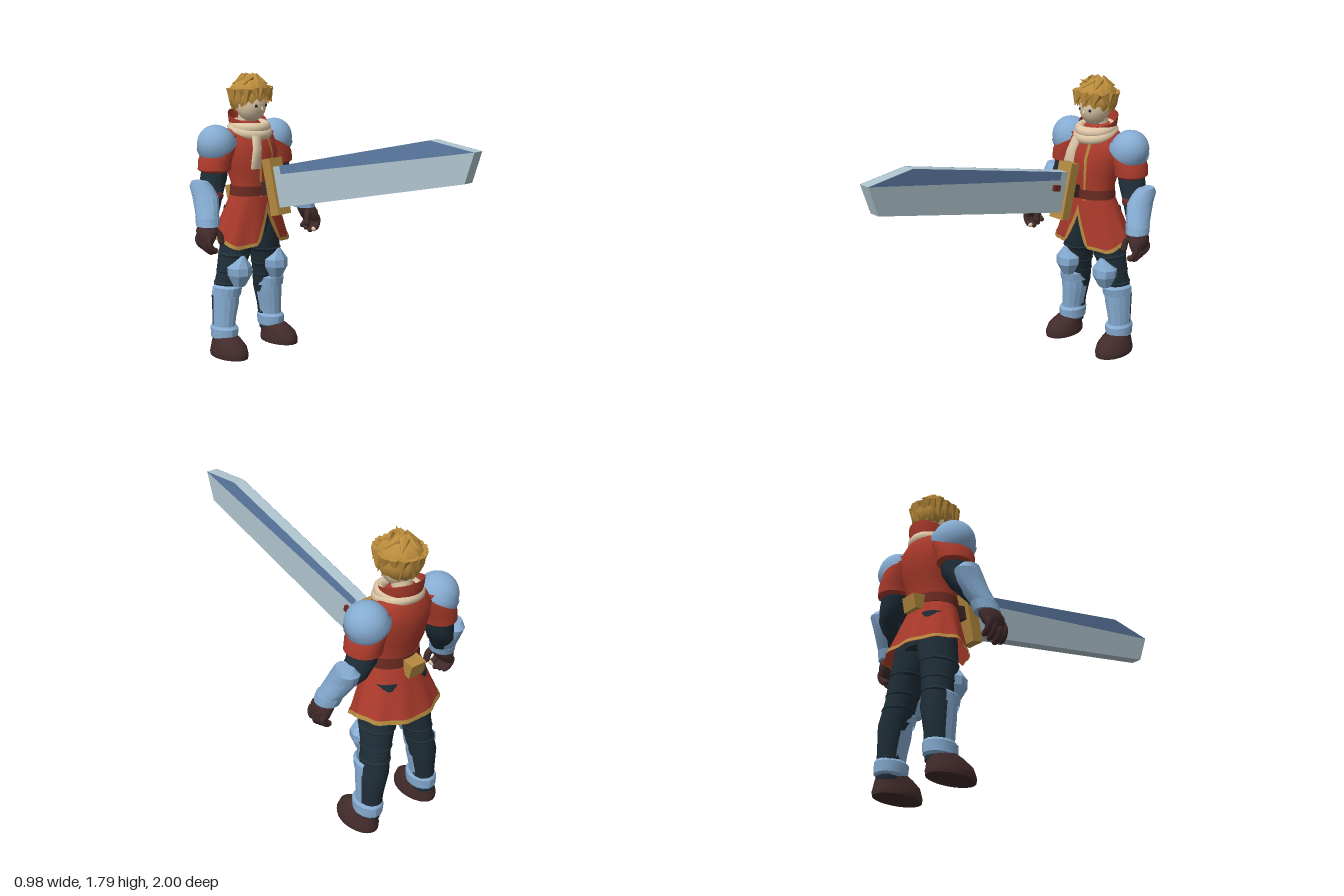
import * as THREE from 'three';
import { toCreasedNormals } from 'three/addons/utils/BufferGeometryUtils.js';

const mat = (name, color, double) => {
  const m = new THREE.MeshStandardMaterial({ color });
  m.name = name;
  if (double) m.side = THREE.DoubleSide;
  return m;
};
const V = (x, y, z) => new THREE.Vector3(x, y, z);
const PI = Math.PI;

// Surface from a rule fn(u, v): u runs around, v runs from top to bottom
function grid(fn, nu, nv, caps) {
  const pos = [], idx = [];
  for (let i = 0; i <= nv; i++)
    for (let j = 0; j <= nu; j++) pos.push(...fn(j / nu, i / nv));
  const at = (i, j) => i * (nu + 1) + j;
  for (let i = 0; i < nv; i++)
    for (let j = 0; j < nu; j++)
      idx.push(at(i, j), at(i, j + 1), at(i + 1, j + 1), at(i, j), at(i + 1, j + 1), at(i + 1, j));
  if (caps)
    for (let j = 1; j < nu - 1; j++) {
      idx.push(at(0, 0), at(0, j + 1), at(0, j));
      idx.push(at(nv, 0), at(nv, j), at(nv, j + 1));
    }
  const g = new THREE.BufferGeometry();
  g.setAttribute('position', new THREE.Float32BufferAttribute(pos, 3));
  g.setIndex(idx);
  return g;
}

// Stack of horizontal ellipses [x, y, z, rx, rz], listed top to bottom
function loft(rings, n = 20, a0 = 0, a1 = 2 * PI) {
  const last = rings.length - 1;
  return grid((u, v) => {
    const [x, y, z, rx, rz] = rings[Math.round(v * last)];
    const a = a0 + (a1 - a0) * u;
    return [x + rx * Math.cos(a), y, z + rz * Math.sin(a)];
  }, n, last, a1 - a0 > 6.2);
}

const ball = (x, y, z, rx, ry, rz) => new THREE.SphereGeometry(1, 20, 14).scale(rx, ry, rz).translate(x, y, z);
const tube = (pts, r) => new THREE.TubeGeometry(new THREE.CatmullRomCurve3(pts), 10, r, 8);

// Tapered lock from point a to point b
function spike(a, b, r) {
  const d = b.clone().sub(a), h = d.length();
  const g = new THREE.ConeGeometry(r, h, 7).translate(0, h / 2, 0);
  g.applyQuaternion(new THREE.Quaternion().setFromUnitVectors(V(0, 1, 0), d.normalize()));
  return g.translate(a.x, a.y, a.z);
}

// Piecewise linear lookup
function lookup(table, x) {
  for (let i = 1; i < table.length; i++)
    if (x <= table[i][0]) {
      const [x0, y0] = table[i - 1], [x1, y1] = table[i];
      return y0 + (y1 - y0) * (x - x0) / (x1 - x0);
    }
  return table[table.length - 1][1];
}

export function createModel() {
  const root = new THREE.Group();
  const red = mat('tunic red', 0xaa3a2b, true), darkRed = mat('dark red', 0x6a2a22, true);
  const steel = mat('armour blue', 0x86acd2, true), pale = mat('blade steel', 0xb0c5cf);
  const edge = mat('edge blue', 0x5f7ea8), gold = mat('gold', 0xb3893f, true);
  const hair = mat('hair blond', 0xba8b3b, true), navy = mat('navy cloth', 0x1f2e38);
  const brown = mat('leather brown', 0x422b2b), cream = mat('cream', 0xdfc8a8, true);

  // s = -1 mirrors the part to the other side
  function add(name, geo, material, s = 1, crease = 0.8, parent = root) {
    const g = geo.index ? geo.toNonIndexed() : geo;
    g.deleteAttribute('uv');
    if (s < 0) {
      g.scale(-1, 1, 1);
      const p = g.attributes.position, a = V(), b = V();
      for (let i = 0; i < p.count; i += 3) {
        a.fromBufferAttribute(p, i + 1);
        b.fromBufferAttribute(p, i + 2);
        p.setXYZ(i + 1, b.x, b.y, b.z);
        p.setXYZ(i + 2, a.x, a.y, a.z);
      }
    }
    const mesh = new THREE.Mesh(toCreasedNormals(g, crease), material);
    mesh.name = name;
    parent.add(mesh);
  }

  // Torso, belt and front trim
  const torso = [
    [0, 1.5, -0.82, 0.07, 0.07], [0, 1.45, -0.82, 0.14, 0.1], [0, 1.39, -0.81, 0.19, 0.135],
    [0, 1.3, -0.79, 0.19, 0.15], [0, 1.2, -0.785, 0.168, 0.14], [0, 1.1, -0.768, 0.15, 0.118], [0, 1.03, -0.77, 0.155, 0.12]];
  add('torso', loft(torso, 28), red);
  const grown = torso.slice(2).map(([x, y, z, a, b]) => [x, y, z, a + 0.005, b + 0.005]);
  for (const a of [1.25, 1.79]) add('frontTrim', loft(grown, 2, a, a + 0.1), gold);
  add('belt', loft([[0, 1.1, -0.768, 0.158, 0.126], [0, 1.04, -0.77, 0.163, 0.128]], 28), darkRed);

  // Flared skirt with a slit at the front and a gold hem
  const hem = [[0, 0.93], [0.3, 0.73], [0.8, 0.71], [1.57, 0.77], [3.15, 0.745]];
  const skirt = (u, y, out) => {
    const a = u * 2 * PI, t = (1.06 - y) / 0.32, f = 1 + 0.03 * t * Math.cos(10 * a);
    const rx = (0.15 + 0.13 * t) * f + out, rz = (0.118 + 0.072 * t) * f + out;
    return [rx * Math.cos(a), y, -0.768 - 0.046 * t + rz * Math.sin(a)];
  };
  const fromFront = (u) => Math.acos(Math.min(1, Math.max(-1, Math.sin(u * 2 * PI))));
  add('skirt', grid((u, v) => skirt(u, 1.06 + (lookup(hem, fromFront(u)) - 1.06) * v, 0), 72, 6), red);
  add('skirtHem', grid((u, v) => {
    const d = fromFront(u), band = d < 0.28 ? 0.07 : 0.022;
    return skirt(u, lookup(hem, d) + band * (1 - v), 0.005);
  }, 72, 1), gold);
  add('hips', loft([[0, 1.02, -0.785, 0.14, 0.1], [0, 0.88, -0.8, 0.17, 0.12], [0, 0.78, -0.81, 0.12, 0.11]]), navy);

  // Head
  add('head', ball(0, 1.61, -0.775, 0.092, 0.12, 0.105), cream);
  add('neck', loft([[0, 1.56, -0.81, 0.055, 0.055], [0, 1.43, -0.82, 0.06, 0.06]]), cream);
  add('nose', spike(V(0, 1.59, -0.685), V(0, 1.568, -0.658), 0.016), cream);
  for (const s of [1, -1]) {
    add('eye', ball(0.037, 1.598, -0.683, 0.014, 0.01, 0.005), navy, s);
  }

  // Hair cap with combed ridges, then pointed locks around it
  const C = V(0, 1.652, -0.785);
  const onCap = (a, th, k = 1) => V(
    C.x + 0.126 * k * Math.sin(th) * Math.cos(a), C.y + 0.122 * k * Math.cos(th), C.z + 0.136 * k * Math.sin(th) * Math.sin(a));
  add('hair', grid((u, v) => {
    const a = u * 2 * PI, th = v * (2.1 - 0.4 * Math.sin(a) + 0.1 * Math.cos(14 * a));
    return onCap(a, th, 1 + 0.035 * v * Math.sin(11 * a + 3 * v)).toArray();
  }, 66, 14), hair);
  for (let i = 0; i < 20; i++) {
    const a = i / 20 * 2 * PI + 0.15 * Math.sin(i * 7), front = Math.sin(a);
    const end = 2.05 - 0.3 * front + 0.12 * Math.sin(i * 5);
    add('hairLock', spike(onCap(a, 1.15, 0.95), onCap(a + 0.22 * Math.cos(i * 3), end, 1.1), 0.036), hair);
  }
  for (let i = 0; i < 7; i++) {
    const a = i * 0.9 + 0.4;
    add('crownLock', spike(onCap(a, 0.3, 0.93), onCap(a + 0.5, 0.95, 1.1), 0.035), hair);
  }
  add('crownWisp', spike(V(-0.01, 1.755, -0.76), V(-0.055, 1.775, -0.69), 0.02), hair);

  // Standing collar, lower towards its open front
  add('collar', grid((u, v) => {
    const a = PI * 0.62 + u * PI * 1.76, top = 1.525 - 0.04 * Math.sin(a);
    const y = top + (1.41 - top) * v, r = 0.116 + 0.008 * Math.cos(v * PI);
    return [r * Math.cos(a), y, -0.812 + r * 0.95 * Math.sin(a)];
  }, 36, 5), red);

  // Scarf coils and hanging tail
  for (const [R, y, tilt] of [[0.112, 1.44, 0.22], [0.102, 1.465, 0.08]]) {
    add('scarfCoil', new THREE.TorusGeometry(R, 0.03, 10, 32).rotateX(PI / 2).scale(1, 1.15, 1.02)
      .rotateX(tilt).translate(0, y, -0.79), cream);
  }
  add('scarfTail', loft([[-0.05, 1.42, -0.675, 0.035, 0.02], [-0.07, 1.34, -0.645, 0.036, 0.016],
    [-0.085, 1.27, -0.64, 0.04, 0.014], [-0.085, 1.215, -0.643, 0.045, 0.012]], 10), cream);

  for (const s of [1, -1]) {
    // Arm: sleeve, shoulder plate, undersleeve, vambrace
    add('sleeve', loft([[0.17, 1.42, -0.825, 0.06, 0.08], [0.22, 1.35, -0.83, 0.1, 0.11], [0.258, 1.27, -0.83, 0.1, 0.112],
      [0.264, 1.215, -0.83, 0.1, 0.11], [0.265, 1.2, -0.83, 0.08, 0.09]]), red, s);
    const dome = (k, t0, t1) => new THREE.SphereGeometry(k, 24, 10, 0, 2 * PI, t0, t1)
      .scale(0.118, 0.125, 0.122).rotateZ(-0.5).translate(0.242, 1.365, -0.83);
    add('shoulderPlate', dome(1, 0, 1.85), steel, s);
    add('shoulderRim', dome(1.06, 1.45, 0.35), steel, s);
    add('arm', loft([[0.25, 1.27, -0.83, 0.08, 0.085], [0.275, 1.15, -0.83, 0.083, 0.085], [0.31, 1.07, -0.815, 0.072, 0.08],
      [0.37, 0.98, -0.76, 0.06, 0.065], [0.41, 0.9, -0.73, 0.05, 0.055]]), navy, s);
    add('elbowPad', ball(0.305, 1.06, -0.775, 0.045, 0.04, 0.05), darkRed, s);
    add('vambrace', loft([[0.385, 1.155, -0.83, 0.045, 0.055], [0.372, 1.12, -0.83, 0.065, 0.085], [0.368, 1.06, -0.8, 0.072, 0.092],
      [0.388, 0.99, -0.765, 0.07, 0.085], [0.41, 0.93, -0.735, 0.066, 0.075]], 14), steel, s, 0.5);
    add('wristCuff', loft([[0.405, 0.945, -0.74, 0.072, 0.082], [0.416, 0.895, -0.727, 0.068, 0.078]], 14), steel, s, 0.5);

    // Glove with curled fingers
    add('hand', loft([[0.418, 0.91, -0.725, 0.052, 0.06], [0.435, 0.87, -0.715, 0.056, 0.075],
      [0.448, 0.825, -0.708, 0.042, 0.076], [0.455, 0.8, -0.705, 0.026, 0.068]], 14), brown, s);
    for (let i = 0; i < 4; i++) {
      const z = -0.653 - i * 0.036, drop = 0.012 * Math.abs(i - 1);
      add('finger', tube([V(0.455, 0.84, z), V(0.468, 0.79 + drop, z), V(0.45, 0.75 + drop, z + 0.005),
        V(0.425, 0.738 + drop, z + 0.008)], 0.019), brown, s);
      add('fingertip', ball(0.424, 0.738 + drop, z + 0.008, 0.017, 0.016, 0.017), i ? brown : cream, s);
    }
    add('thumb', tube([V(0.405, 0.88, -0.68), V(0.38, 0.845, -0.662), V(0.372, 0.8, -0.655)], 0.02), brown, s);
    add('thumbTip', ball(0.372, 0.8, -0.655, 0.02, 0.022, 0.02), brown, s);

    // Leg with cloth bands
    add('leg', loft([[0.09, 0.96, -0.8, 0.09, 0.11], [0.105, 0.75, -0.805, 0.1, 0.118], [0.135, 0.64, -0.815, 0.092, 0.108],
      [0.155, 0.52, -0.835, 0.08, 0.092], [0.18, 0.38, -0.86, 0.082, 0.085], [0.195, 0.25, -0.862, 0.066, 0.072],
      [0.205, 0.08, -0.86, 0.06, 0.066]], 24), navy, s);
    for (const [x, y, z, rx, rz] of [[0.13, 0.66, -0.812, 0.1, 0.115], [0.15, 0.55, -0.83, 0.088, 0.1], [0.165, 0.47, -0.845, 0.086, 0.094]]) {
      add('legBand', loft([[x, y + 0.022, z, rx - 0.014, rz - 0.014], [x, y, z, rx, rz], [x, y - 0.022, z, rx - 0.014, rz - 0.014]], 24), navy, s);
    }

    // Knee, shin and ankle armour
    add('kneePlate', loft([[0.155, 0.66, -0.705, 0.012, 0.012], [0.157, 0.585, -0.74, 0.082, 0.082],
      [0.158, 0.535, -0.74, 0.076, 0.085], [0.16, 0.46, -0.74, 0.04, 0.04]], 8), steel, s, 0.2);
    add('shinCuff', loft([[0.18, 0.465, -0.845, 0.08, 0.11], [0.184, 0.45, -0.845, 0.09, 0.125],
      [0.186, 0.395, -0.85, 0.09, 0.118]], 10, -0.2, PI + 0.2), steel, s, 0.3);
    add('shinPlate', loft([[0.186, 0.42, -0.85, 0.086, 0.108], [0.19, 0.33, -0.855, 0.083, 0.108], [0.2, 0.24, -0.858, 0.072, 0.1],
      [0.205, 0.16, -0.858, 0.066, 0.095]], 8, -0.1, PI + 0.1), steel, s, 0.3);
    add('ankleCuff', loft([[0.203, 0.19, -0.845, 0.07, 0.09], [0.203, 0.175, -0.842, 0.08, 0.102],
      [0.205, 0.115, -0.842, 0.078, 0.098], [0.205, 0.1, -0.842, 0.066, 0.086]], 14), steel, s, 0.5);

    // Boot
    add('boot', loft([[0.206, 0.14, -0.85, 0.062, 0.075], [0.212, 0.11, -0.81, 0.072, 0.11], [0.218, 0.075, -0.785, 0.086, 0.14],
      [0.221, 0.035, -0.78, 0.094, 0.15], [0.221, 0.025, -0.78, 0.096, 0.153], [0.221, 0, -0.78, 0.093, 0.15]], 22), brown, s);
  }

  // Sword running through the waist, pointing forward and slightly up
  const sword = new THREE.Group();
  sword.name = 'sword';
  sword.position.set(-0.019, 1.11, -0.533);
  sword.rotation.x = -0.227;
  root.add(sword);
  // Outline points are (along, across); the extrusion gives the thickness
  const plate = (pts, x0, x1) => new THREE.ExtrudeGeometry(new THREE.Shape(pts.map(([u, v]) => new THREE.Vector2(-u, v))),
    { depth: x1 - x0, bevelEnabled: false }).translate(0, 0, x0).rotateY(PI / 2);
  const part = (name, geo, material) => add(name, geo, material, 1, 0.3, sword);
  part('blade', plate([[0, -0.133], [1.48, -0.137], [1.578, 0.02], [1.293, 0.122], [0, 0.122]], -0.034, 0.034), pale);
  const strip = [[0.095, 0.07], [1.578, 0.02], [1.293, 0.122], [0.095, 0.122]];
  part('cuttingEdge', plate(strip, 0.034, 0.036), edge);
  part('cuttingEdge', plate(strip, -0.036, -0.034), edge);
  part('bladeStud', new THREE.BoxGeometry(0.02, 0.035, 0.055).translate(0.042, 0.022, 0.125), darkRed);
  part('guard', new THREE.BoxGeometry(0.108, 0.355, 0.07), gold);
  part('grip', new THREE.BoxGeometry(0.05, 0.08, 0.34).translate(0, 0, -0.19), brown);
  part('pommel', new THREE.BoxGeometry(0.1, 0.085, 0.08).translate(0, 0.015, -0.385), gold);

  return root;
}
